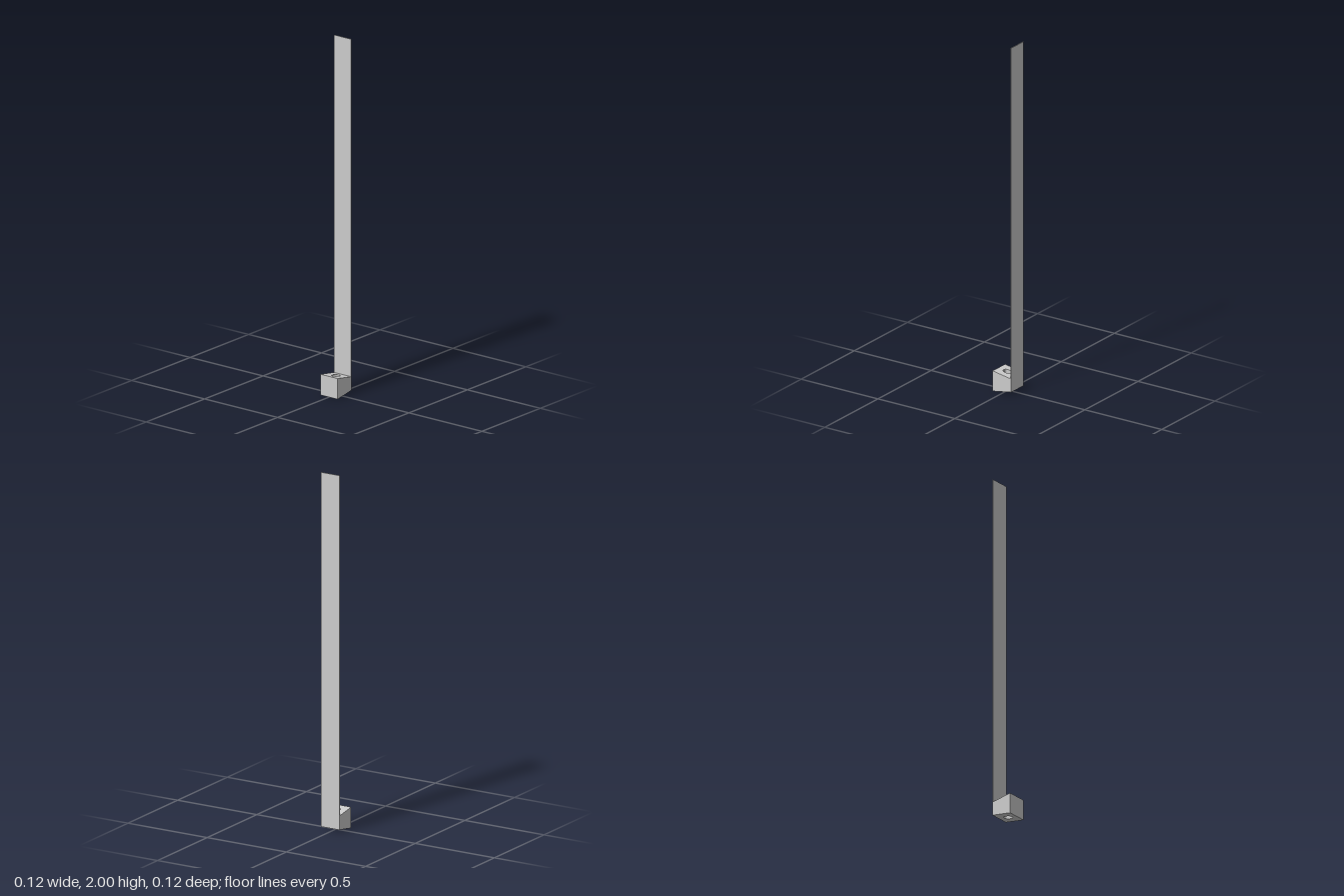
import * as THREE from 'three';
import { toCreasedNormals } from 'three/addons/utils/BufferGeometryUtils.js';

const HALF = 0.0585;          // half depth of block and strip
const X0 = -0.0595, X1 = 0.0555; // block's thick and thin ends
const MID = 0.0585;           // height of the block's centre plane

// Wedge block: a plan outline with a slot, extruded upward, then tapered toward +x
function wedgeBlock() {
  const plan = new THREE.Shape();
  plan.moveTo(X0, -HALF).lineTo(X1, -HALF).lineTo(X1, HALF).lineTo(X0, HALF).closePath();

  const r = 0.019, a = 0.008, cx = -0.0015;
  const slot = new THREE.Path();
  slot.moveTo(cx - a, -r);
  slot.lineTo(cx + a, -r);
  slot.absarc(cx + a, 0, r, -Math.PI / 2, Math.PI / 2, false);
  slot.lineTo(cx - a, r);
  slot.absarc(cx - a, 0, r, Math.PI / 2, Math.PI * 1.5, false);
  plan.holes.push(slot);

  const geo = new THREE.ExtrudeGeometry(plan, { depth: 1, bevelEnabled: false, curveSegments: 16 });
  geo.rotateX(-Math.PI / 2);
  const p = geo.attributes.position;
  for (let i = 0; i < p.count; i++) {
    const t = (p.getX(i) - X0) / (X1 - X0);
    const height = THREE.MathUtils.lerp(2 * MID, 0.078, t);
    p.setY(i, MID + (p.getY(i) - 0.5) * height);
  }
  return toCreasedNormals(geo, 0.6);
}

export function createModel() {
  const group = new THREE.Group();
  const material = new THREE.MeshStandardMaterial({ color: 0xcccccc });

  const block = new THREE.Mesh(wedgeBlock(), material);
  block.name = 'slottedWedgeBlock';
  group.add(block);

  // Tall thin strip standing against the block's narrow end
  const bottom = 0.0195, thickness = 0.004;
  const strip = new THREE.Mesh(new THREE.BoxGeometry(thickness, 2 - bottom, 2 * HALF), material);
  strip.name = 'uprightStrip';
  strip.position.set(X1 + thickness / 2, (2 + bottom) / 2, 0);
  group.add(strip);

  return group;
}
